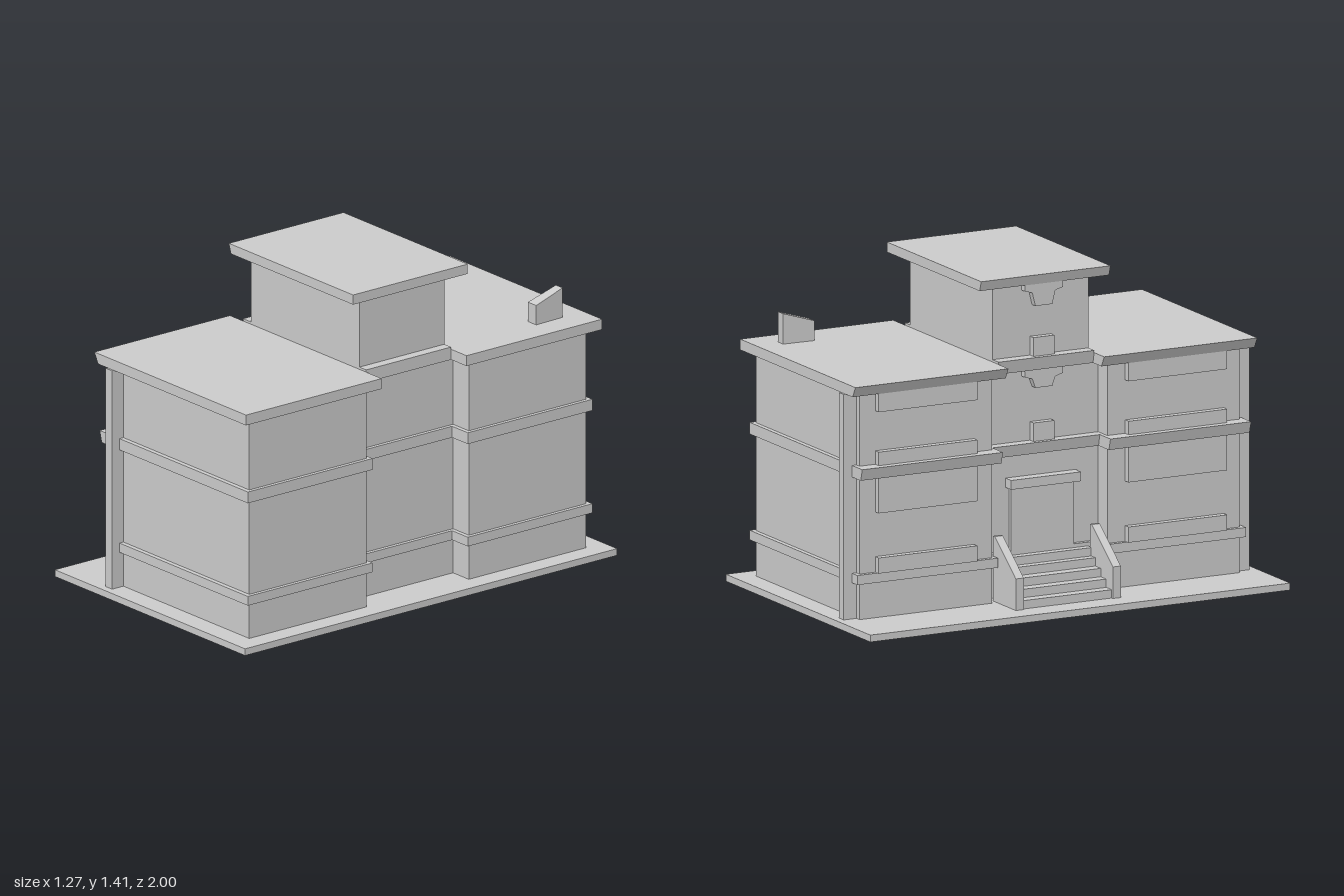
import * as THREE from 'three';

const material = new THREE.MeshStandardMaterial({ color: 0xcccccc, flatShading: true });

function add(parent, name, geometry) {
  const mesh = new THREE.Mesh(geometry, material);
  mesh.name = name;
  parent.add(mesh);
  return mesh;
}

// Box given by its limits on each axis
function box(parent, name, x0, x1, y0, y1, z0, z1) {
  const g = new THREE.BoxGeometry(x1 - x0, y1 - y0, z1 - z0);
  g.translate((x0 + x1) / 2, (y0 + y1) / 2, (z0 + z1) / 2);
  return add(parent, name, g);
}

// Outline in the xy plane, extruded from z0 to z1
function prism(parent, name, points, z0, z1) {
  const shape = new THREE.Shape(points.map(([x, y]) => new THREE.Vector2(x, y)));
  const g = new THREE.ExtrudeGeometry(shape, { depth: z1 - z0, bevelEnabled: false });
  g.translate(0, 0, z0);
  return add(parent, name, g);
}

// Slab whose entrance-side edge leans outwards towards the top
function slab(parent, name, x0, x1, y0, y1, z0, z1, lean) {
  return prism(parent, name, [[x0 + lean, y0], [x1, y0], [x1, y1], [x0, y1]], z0, z1);
}

// Box limits mirrored across z for side s = 1 or -1
const span = (s, a, b) => (s > 0 ? [a, b] : [-b, -a]);

function createWing(s) {
  const wing = new THREE.Group();
  wing.name = s > 0 ? 'frontWing' : 'backWing';
  box(wing, 'wingWalls', -0.365, 0.545, 0.03, 1.0, ...span(s, 0.275, 0.905));
  slab(wing, 'wingRoof', -0.425, 0.588, 1.0, 1.046, ...span(s, 0.228, 0.957), 0.025);
  box(wing, 'cornerPilaster', -0.338, -0.295, 0.03, 1.0, ...span(s, 0.9, 0.966));
  // String courses
  box(wing, 'lowerBand', -0.384, 0.562, 0.185, 0.226, ...span(s, 0.256, 0.926));
  slab(wing, 'upperBand', -0.428, 0.562, 0.64, 0.69, ...span(s, 0.256, 0.926), 0.014);
  // Window sills and lintels
  const bars = [['lowerSill', 0.226, 0.293], ['lowerLintel', 0.485, 0.64],
    ['upperSill', 0.69, 0.748], ['upperLintel', 0.92, 1.0]];
  for (const [name, y0, y1] of bars) {
    box(wing, name, -0.395, -0.36, y0, y1, ...span(s, 0.36, 0.83));
  }
  return wing;
}

// Small lintel that narrows downwards on the stair tower
function towerLintel(parent, y0, y1) {
  const shape = new THREE.Shape([[-0.09, y1], [-0.09, y1 - 0.03], [-0.055, y1 - 0.04], [-0.04, y0],
    [0.04, y0], [0.055, y1 - 0.04], [0.09, y1 - 0.03], [0.09, y1]].map(([a, b]) => new THREE.Vector2(a, b)));
  const g = new THREE.ExtrudeGeometry(shape, { depth: 0.035, bevelEnabled: false });
  g.rotateY(-Math.PI / 2);
  g.translate(-0.28, 0, 0);
  add(parent, 'towerLintel', g);
}

function createTower() {
  const tower = new THREE.Group();
  tower.name = 'stairTower';
  box(tower, 'middleWalls', -0.285, 0.44, 0.03, 1.0, -0.28, 0.28);
  box(tower, 'towerWalls', -0.285, 0.44, 1.0, 1.37, -0.228, 0.228);
  slab(tower, 'towerRoof', -0.333, 0.497, 1.367, 1.41, -0.308, 0.308, 0.014);
  // Ledges between the wings
  slab(tower, 'topLedge', -0.338, 0.485, 1.0, 1.056, -0.228, 0.228, 0.012);
  box(tower, 'topLedgeCore', -0.32, 0.48, 1.0, 1.045, -0.278, 0.278);
  slab(tower, 'upperLedge', -0.335, 0.457, 0.64, 0.69, -0.28, 0.28, 0.012);
  box(tower, 'lowerLedge', -0.305, 0.457, 0.185, 0.226, -0.28, 0.28);
  // Narrow windows above the entrance
  box(tower, 'towerSill', -0.315, -0.28, 1.056, 1.137, -0.05, 0.05);
  box(tower, 'middleSill', -0.315, -0.28, 0.69, 0.77, -0.05, 0.05);
  towerLintel(tower, 1.272, 1.37);
  towerLintel(tower, 0.92, 1.0);
  return tower;
}

function createEntrance() {
  const entrance = new THREE.Group();
  entrance.name = 'entrance';
  box(entrance, 'door', -0.305, -0.28, 0.2, 0.5, -0.15, 0.15);
  box(entrance, 'doorCanopy', -0.335, -0.28, 0.5, 0.54, -0.167, 0.167);
  // Steps climbing towards the door
  const edges = [-0.52, -0.472, -0.424, -0.376, -0.34];
  edges.forEach((x, i) => {
    box(entrance, 'step', x, -0.28, 0.03 + i * 0.036, 0.03 + (i + 1) * 0.036, -0.215, 0.215);
  });
  // Sloped side walls of the steps
  for (const s of [1, -1]) {
    prism(entrance, 'stairSideWall',
      [[-0.53, 0.03], [-0.33, 0.03], [-0.33, 0.31], [-0.345, 0.31], [-0.53, 0.166]],
      ...span(s, 0.212, 0.25));
  }
  return entrance;
}

export function createModel() {
  const model = new THREE.Group();
  model.name = 'building';
  box(model, 'groundSlab', -0.635, 0.635, 0, 0.03, -1, 1);
  model.add(createWing(1), createWing(-1), createTower(), createEntrance());

  // Roof vent with a sloping top, slightly narrower at the far end
  const vent = box(model, 'roofVent', 0.416, 0.471, 1.04, 1.132, -0.843, -0.697);
  const p = vent.geometry.attributes.position;
  for (let i = 0; i < p.count; i++) {
    if (p.getZ(i) > -0.75) continue;
    p.setX(i, p.getX(i) < 0.443 ? 0.421 : 0.466);
    if (p.getY(i) > 1.1) p.setY(i, 1.177);
  }
  vent.geometry.computeVertexNormals();
  return model;
}
